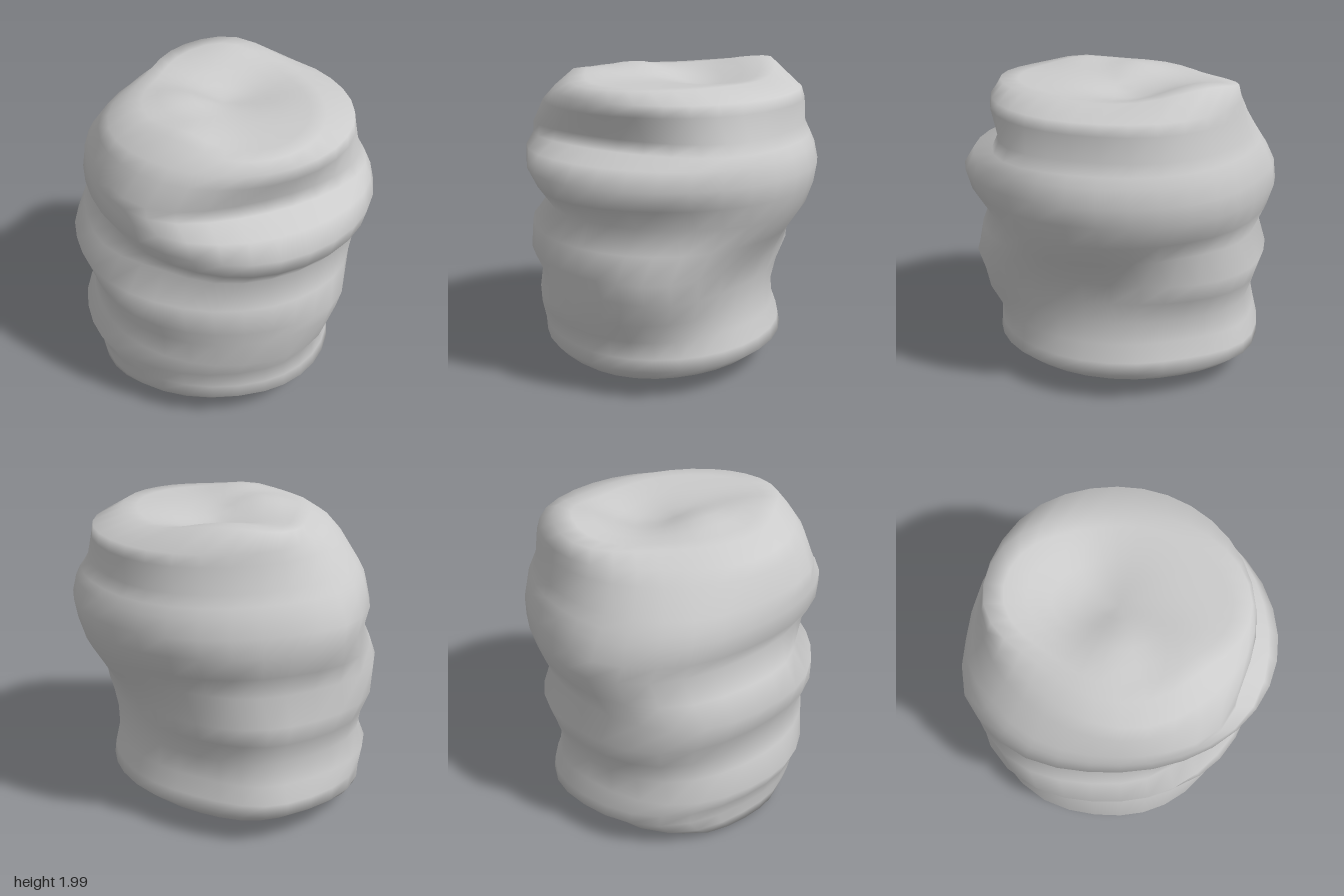
import * as THREE from 'three';

// Cross-sections from bottom to top: [height, left(-x), right(+x), front(+z), back(-z)]
const SECTIONS = [
  [0.01, 0.55, 0.3, 0.4, 0.42],
  [0.05, 0.84, 0.48, 0.6, 0.66],
  [0.12, 0.85, 0.62, 0.74, 0.83],
  [0.2, 0.86, 0.72, 0.82, 0.94],
  [0.28, 0.88, 0.71, 0.81, 0.94],
  [0.39, 0.93, 0.67, 0.81, 0.9],
  [0.53, 0.86, 0.65, 0.89, 0.87],
  [0.67, 0.85, 0.66, 0.86, 0.91],
  [0.81, 0.89, 0.69, 0.92, 0.95],
  [0.98, 0.95, 0.8, 0.9, 0.88],
  [1.13, 0.87, 0.89, 0.83, 0.93],
  [1.27, 0.79, 0.93, 0.96, 0.96],
  [1.39, 0.86, 0.95, 1.0, 0.95],
  [1.5, 0.85, 0.91, 0.92, 0.92],
  [1.56, 0.85, 0.87, 0.75, 0.89],
  [1.63, 0.83, 0.82, 0.72, 0.86],
  [1.78, 0.79, 0.82, 0.81, 0.83],
  [1.85, 0.74, 0.81, 0.8, 0.82],
  [1.93, 0.62, 0.6, 0.77, 0.8],
];

// Bulges and dents: [degrees from +x towards +z, height, angular width, vertical size, amount]
const LUMPS = [
  [45, 0.72, 24, 0.2, 0.14],    // front hip
  [38, 1.6, 24, 0.1, 0.09],     // end of the front fold
  [131, 1.62, 25, 0.12, 0.14],  // other end of the fold
  [138, 1.1, 22, 0.11, -0.09],  // crease beside the knob
  [142, 0.87, 20, 0.1, 0.03],   // knob
  [138, 1.95, 24, 0.09, -0.09], // worn top edge
  [225, 1.0, 28, 0.72, 0.08],   // full back corner
  [225, 1.95, 32, 0.2, -0.23],  // sloping top corner
  [225, 0.04, 24, 0.12, 0.1],   // squarer foot
  [251, 1.3, 14, 0.22, 0.05],   // ridge at the back
  [315, 0.38, 26, 0.34, -0.08], // pinched lower corner
  [315, 0.8, 22, 0.1, 0.03],    // small roll
  [315, 1.0, 24, 0.11, -0.08],  // crease above the roll
  [322, 1.7, 24, 0.2, 0.05],    // shoulder
];
const SEGMENTS = 32;

const bump = (x, z, cx, cz, r) => Math.exp(-((x - cx) ** 2 + (z - cz) ** 2) / (r * r));

// Uneven top: raised at the back and -x side, hollow in the middle
const topHeight = (x, z) =>
  1.92 + 0.08 * bump(x, z, 0.28, -0.6, 0.32) + 0.06 * bump(x, z, -0.28, -0.03, 0.22)
  + 0.05 * bump(x, z, -0.36, 0.38, 0.22) - 0.08 * bump(x, z, 0.16, -0.17, 0.3);

function sectionPoint([y, left, right, front, back], angle) {
  const c = Math.cos(angle), s = Math.sin(angle);
  let x = c * (c > 0 ? right : left);
  let z = s * (s > 0 ? front : back);
  let grow = 1;
  for (const [degrees, height, width, size, amount] of LUMPS) {
    const turn = angle - THREE.MathUtils.degToRad(degrees);
    const off = Math.atan2(Math.sin(turn), Math.cos(turn)) / THREE.MathUtils.degToRad(width);
    grow += amount * Math.exp(-off * off - ((y - height) / size) ** 2);
  }
  // The back -x corner is a little squarer than the rest
  if (c < 0 && s < 0) grow += 0.03 * Math.sin(2 * angle) ** 2;
  return [x * grow, y, z * grow];
}

function lumpyBody() {
  const positions = [], index = [];
  const addRing = (fn) => {
    for (let i = 0; i < SEGMENTS; i++) positions.push(...fn((i / SEGMENTS) * Math.PI * 2));
  };
  // Sides
  const rim = SECTIONS[SECTIONS.length - 1];
  const sides = SECTIONS.slice(0, -1);
  for (const row of sides) addRing((a) => sectionPoint(row, a));
  // Rim and top surface as shrinking rings
  const scales = [1, 0.85, 0.68, 0.5, 0.33, 0.16];
  for (const k of scales) {
    addRing((a) => {
      const [x, , z] = sectionPoint(rim, a);
      return [x * k, topHeight(x * k, z * k), z * k];
    });
  }
  const rings = sides.length + scales.length;
  for (let r = 0; r < rings - 1; r++) {
    for (let i = 0; i < SEGMENTS; i++) {
      const j = (i + 1) % SEGMENTS;
      const a = r * SEGMENTS + i, b = r * SEGMENTS + j;
      index.push(a, a + SEGMENTS, b, b, a + SEGMENTS, b + SEGMENTS);
    }
  }
  // Close the bottom and the top
  const bottom = positions.length / 3;
  positions.push(-0.05, 0, 0, 0, topHeight(0, 0), 0);
  const last = (rings - 1) * SEGMENTS;
  for (let i = 0; i < SEGMENTS; i++) {
    const j = (i + 1) % SEGMENTS;
    index.push(bottom, i, j, bottom + 1, last + j, last + i);
  }
  const geometry = new THREE.BufferGeometry();
  geometry.setAttribute('position', new THREE.Float32BufferAttribute(positions, 3));
  geometry.setIndex(index);
  geometry.computeVertexNormals();
  return geometry;
}

export function createModel() {
  const group = new THREE.Group();
  const body = new THREE.Mesh(lumpyBody(), new THREE.MeshStandardMaterial({ color: 0xcccccc }));
  body.name = 'lumpyBody';
  group.add(body);
  return group;
}
